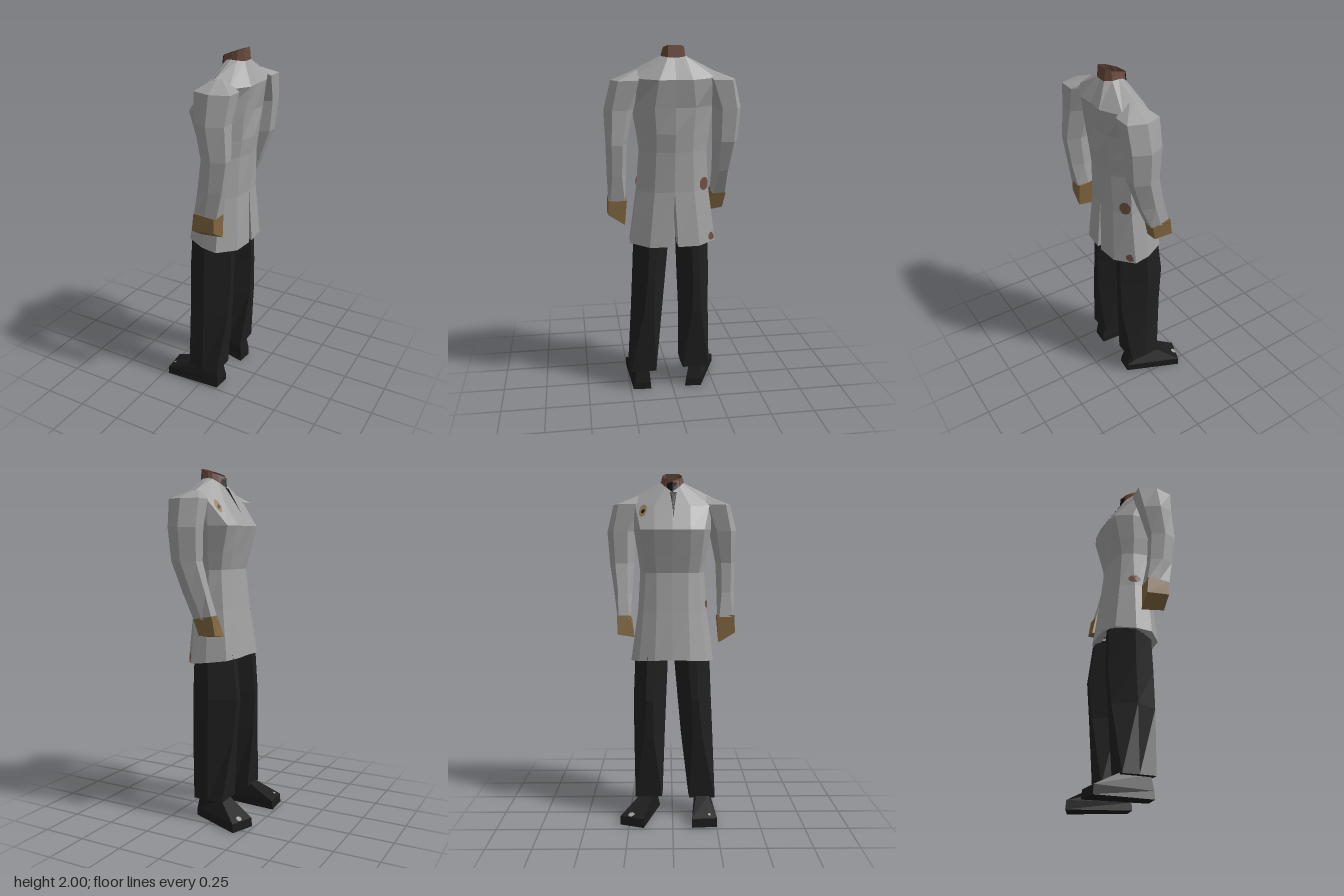
import * as THREE from 'three';

const mat = (name, color, side = THREE.FrontSide) => {
  const m = new THREE.MeshStandardMaterial({ color, side });
  m.name = name;
  return m;
};

// Skin consecutive rings (bottom to top, front -> +z -> back); faceted normals
function loft(rings, { closed = true, bottom = false, top = false } = {}) {
  const pos = [];
  const tri = (...p) => p.forEach((v) => pos.push(...v));
  const n = rings[0].length;
  const cap = (ring, up) => {
    const c = [0, 1, 2].map((k) => ring.reduce((s, p) => s + p[k], 0) / n);
    ring.forEach((p, j) => {
      const q = ring[(j + 1) % n];
      up ? tri(c, p, q) : tri(c, q, p);
    });
  };
  for (let i = 0; i < rings.length - 1; i++) {
    for (let j = 0; j < (closed ? n : n - 1); j++) {
      const k = (j + 1) % n;
      const a = rings[i][j], b = rings[i][k], c = rings[i + 1][k], d = rings[i + 1][j];
      tri(a, b, c);
      tri(a, c, d);
    }
  }
  if (bottom) cap(rings[0], false);
  if (top) cap(rings[rings.length - 1], true);
  const g = new THREE.BufferGeometry();
  g.setAttribute('position', new THREE.Float32BufferAttribute(pos, 3));
  g.computeVertexNormals();
  return g;
}

// Six-sided limb ring inside the box x0..x1, z0..z1; k runs from diamond (0) to box (1)
const hex = ([y, x0, x1, z0, z1, k = 0.5]) =>
  [[-1, -k], [-1, k], [0, 1], [1, k], [1, -k], [0, -1]].map(([u, v]) => [
    (x0 + x1) / 2 + (u * (x1 - x0)) / 2, y, (z0 + z1) / 2 + (v * (z1 - z0)) / 2]);

const mirrorRing = (ring) => ring.map(([x, y, z]) => [x, y, -z]).reverse();

export function createModel() {
  const model = new THREE.Group();
  const coatGrey = mat('coat grey', 0xa0a0a0);
  const trouserBlack = mat('trouser black', 0x1f1f1f);
  const shoeBlack = mat('shoe black', 0x1b1b1b);
  const gloveTan = mat('glove tan', 0x80663f);
  const skinBrown = mat('skin brown', 0x664739, THREE.DoubleSide);
  const stainBrown = mat('stain brown', 0x6e4f40, THREE.DoubleSide);
  const badgeTan = mat('badge tan', 0x8f7450, THREE.DoubleSide);
  const tieBlack = mat('tie black', 0x161616, THREE.DoubleSide);
  const scuffGrey = mat('scuff grey', 0x9c9c9c, THREE.DoubleSide);
  const add = (name, geometry, material) => {
    const m = new THREE.Mesh(geometry, material);
    m.name = name;
    model.add(m);
    return m;
  };

  // Coat body: half outlines from front centre round to back centre
  const neckBase = [[0.02, 1.89, 0], [0.045, 1.92, 0.04], [0.075, 1.94, 0.06], [0.1, 1.945, 0.066],
    [0.135, 1.942, 0.062], [0.165, 1.938, 0.035], [0.165, 1.935, 0]];
  const flat = (y, pts) => pts.map(([x, z]) => [x, y, z]);
  const hem = [[-0.125, 0.955, 0], [-0.12, 0.95, 0.1], [-0.085, 0.942, 0.19], [0.02, 0.93, 0.238],
    [0.11, 0.92, 0.243], [0.19, 0.912, 0.14], [0.2, 0.912, 0.018]];
  const coatRings = [
    hem,
    flat(1.22, [[-0.085, 0], [-0.082, 0.09], [-0.05, 0.165], [0.03, 0.198], [0.11, 0.2], [0.172, 0.11], [0.187, 0]]),
    flat(1.44, [[-0.058, 0], [-0.054, 0.09], [-0.03, 0.15], [0.03, 0.18], [0.11, 0.187], [0.178, 0.1], [0.2, 0]]),
    flat(1.54, [[-0.08, 0], [-0.078, 0.1], [-0.05, 0.165], [0.03, 0.195], [0.11, 0.2], [0.19, 0.1], [0.212, 0]]),
    flat(1.68, [[-0.115, 0], [-0.108, 0.1], [-0.085, 0.178], [0.015, 0.218], [0.11, 0.217], [0.205, 0.11], [0.207, 0]]),
    [[-0.03, 1.81, 0], [-0.022, 1.81, 0.1], [0.02, 1.815, 0.21], [0.09, 1.867, 0.22],
      [0.175, 1.832, 0.22], [0.232, 1.825, 0.09], [0.225, 1.825, 0]],
    neckBase,
  ];
  // Inward fold under the hem, and the inner walls of the back vent
  const fold = hem.map(([x, y, z]) => [0.04 + (x - 0.04) * 0.7, y + 0.012, z * 0.75]);
  const vent = [[[0.2, 0.912, 0.018], [0.09, 0.925, 0.018]], [[0.187, 1.22, 0], [0.09, 1.22, 0]]];
  const halves = [];
  for (const side of ['left', 'right']) {
    const place = (r) => (side === 'left' ? r : mirrorRing(r));
    halves.push(add(side + 'CoatHalf', loft(coatRings.map(place), { closed: false }), coatGrey));
    add(side + 'HemFold', loft([fold, hem].map(place), { closed: false }), coatGrey);
    add(side + 'VentWall', loft(vent.map(place), { closed: false }), coatGrey);
  }

  // Neck stump, open at the top
  const neckTop = [[0.025, 1.95, 0], [0.05, 1.963, 0.035], [0.08, 1.973, 0.05], [0.105, 1.982, 0.056],
    [0.135, 1.99, 0.054], [0.158, 2, 0.035], [0.158, 2, 0]];
  const fullRing = (half) => [...half, ...mirrorRing(half).slice(1, -1)];
  const neck = add('neck', loft([fullRing(neckBase), fullRing(neckTop)]), skinBrown);

  // Sleeves: y, x0, x1, z0, z1, boxiness
  const sleeves = {
    frontSleeve: [[1.18, 0.045, 0.175, 0.265, 0.36, 0.8], [1.32, 0.07, 0.2, 0.262, 0.366],
      [1.49, 0.08, 0.225, 0.255, 0.37], [1.67, 0.04, 0.212, 0.215, 0.375],
      [1.822, 0.02, 0.225, 0.17, 0.335, 0.6], [1.872, 0.08, 0.12, 0.16, 0.205]],
    rearSleeve: [[1.18, -0.06, 0.055, -0.315, -0.235, 0.8], [1.32, -0.02, 0.12, -0.335, -0.23],
      [1.49, 0.025, 0.18, -0.362, -0.22], [1.67, 0.02, 0.195, -0.375, -0.215],
      [1.822, 0.02, 0.205, -0.338, -0.17, 0.6], [1.872, 0.08, 0.12, -0.205, -0.16]],
  };
  for (const [name, rows] of Object.entries(sleeves))
    add(name, loft(rows.map(hex), { top: true, bottom: true }), coatGrey);

  // Gloved hands
  const hands = {
    frontHand: [
      [[0.04, 1.03, 0.27], [0.035, 1.09, 0.365], [0.165, 1.1, 0.362], [0.172, 1.045, 0.275]],
      [[0.05, 1.19, 0.26], [0.045, 1.19, 0.362], [0.165, 1.18, 0.362], [0.17, 1.18, 0.262]]],
    rearHand: [
      [[-0.08, 1.095, -0.31], [-0.085, 1.08, -0.215], [0.02, 1.075, -0.22], [0.025, 1.09, -0.3]],
      [[-0.062, 1.2, -0.315], [-0.055, 1.2, -0.24], [0.05, 1.18, -0.235], [0.05, 1.18, -0.315]]],
  };
  for (const [name, rings] of Object.entries(hands))
    add(name, loft(rings, { top: true, bottom: true }), gloveTan);

  // Trouser legs: ridged at the knee, square at the cuff
  const legs = {
    leftLeg: [[0.12, -0.07, 0.115, 0.095, 0.253, 0.95], [0.5, -0.1, 0.15, 0.05, 0.237, 0.3],
      [0.72, -0.112, 0.155, 0.03, 0.226, 0.2], [0.97, -0.1, 0.148, 0.008, 0.215, 0.25]],
    rightLeg: [[0.13, -0.07, 0.112, -0.222, -0.058, 0.95], [0.5, -0.112, 0.15, -0.226, -0.045, 0.3],
      [0.72, -0.132, 0.155, -0.226, -0.036, 0.2], [0.97, -0.1, 0.148, -0.215, -0.025, 0.25]],
  };
  for (const [name, rows] of Object.entries(legs))
    add(name, loft(rows.map(hex), { bottom: true }), trouserBlack);

  // Wedge shoes: sole, toe edge with tapering heel, ankle
  const shoe = (name, sole, ankle) => {
    const rim = sole.map(([x, z], i) => (i < 2
      ? [x * 0.98, 0.055, z]
      : [x, 0.05, z + (ankle[i][1] - z) * 0.4]));
    return add(name, loft([flat(0.005, sole), rim, flat(0.135, ankle)],
      { top: true, bottom: true }), shoeBlack);
  };
  const leftShoe = shoe('leftShoe',
    [[-0.235, 0.11], [-0.222, 0.253], [0.11, 0.235], [0.118, 0.13]],
    [[-0.06, 0.14], [-0.06, 0.212], [0.1, 0.212], [0.1, 0.14]]);
  const rightShoe = shoe('rightShoe',
    [[-0.185, -0.3], [-0.235, -0.165], [0.11, -0.075], [0.12, -0.17]],
    [[-0.05, -0.19], [-0.07, -0.12], [0.09, -0.1], [0.1, -0.17]]);

  // Flat marks projected along an axis onto the surface below them
  const patch = (name, target, material, origin, dir, outline, lift = 0.005) => {
    const d = new THREE.Vector3(...dir);
    const up = Math.abs(d.y) > 0.5 ? new THREE.Vector3(1, 0, 0) : new THREE.Vector3(0, 1, 0);
    const across = new THREE.Vector3().crossVectors(d, up);
    const project = ([u, v]) => {
      const o = new THREE.Vector3(...origin).addScaledVector(across, u).addScaledVector(up, v);
      const hit = new THREE.Raycaster(o, d).intersectObjects(target)[0];
      return hit && hit.point.addScaledVector(d, -lift).toArray();
    };
    const rings = [0, 0.35, 0.7, 1].map((s) => outline.map(([u, v]) => project([u * s, v * s])));
    const pos = [];
    for (let r = 1; r < rings.length; r++) {
      outline.forEach((_, i) => {
        const k = (i + 1) % outline.length;
        const [a, b, c, e] = [rings[r - 1][i], rings[r][i], rings[r][k], rings[r - 1][k]];
        if (a && b && c && e) pos.push(...a, ...b, ...c, ...a, ...c, ...e);
      });
    }
    const g = new THREE.BufferGeometry();
    g.setAttribute('position', new THREE.Float32BufferAttribute(pos, 3));
    g.computeVertexNormals();
    add(name, g, material);
  };
  const blob = (w, h) => Array.from({ length: 8 }, (_, i) => {
    const a = ((i + 0.5) / 8) * Math.PI * 2;
    return [Math.cos(a) * w * 1.06, Math.sin(a) * h * 1.06];
  });
  patch('sideStain', halves, stainBrown, [0.03, 1.26, 1], [0, 0, -1], blob(0.034, 0.023));
  patch('backStain', halves, stainBrown, [1, 1.255, -0.17], [-1, 0, 0], blob(0.026, 0.036));
  patch('hemStain', halves, stainBrown, [1, 0.95, -0.218], [-1, 0, 0], blob(0.02, 0.022));
  patch('chestBadge', halves, badgeTan, [-0.02, 3, -0.165], [0, -1, 0], blob(0.021, 0.023));
  patch('badgeCentre', halves, tieBlack, [-0.025, 3, -0.165], [0, -1, 0], blob(0.011, 0.007), 0.008);
  patch('tie', halves, tieBlack, [-1, 1.85, 0.006], [1, 0, 0],
    [[0, -0.11], [0.006, -0.04], [0.016, 0.02], [0.02, 0.04], [-0.02, 0.04], [-0.016, 0.02], [-0.006, -0.04]]);
  patch('tieKnot', [...halves, neck], tieBlack, [-1, 1.918, 0], [1, 0, 0],
    [[0, -0.03], [0.03, -0.005], [0.03, 0.02], [0, 0.028], [-0.03, 0.02], [-0.03, -0.005]]);
  patch('leftToeScuff', [leftShoe], scuffGrey, [-0.2, 1, 0.21], [0, -1, 0], blob(0.008, 0.009));
  patch('rightToeScuff', [rightShoe], scuffGrey, [-0.188, 1, -0.237], [0, -1, 0], blob(0.017, 0.014));
  return model;
}
